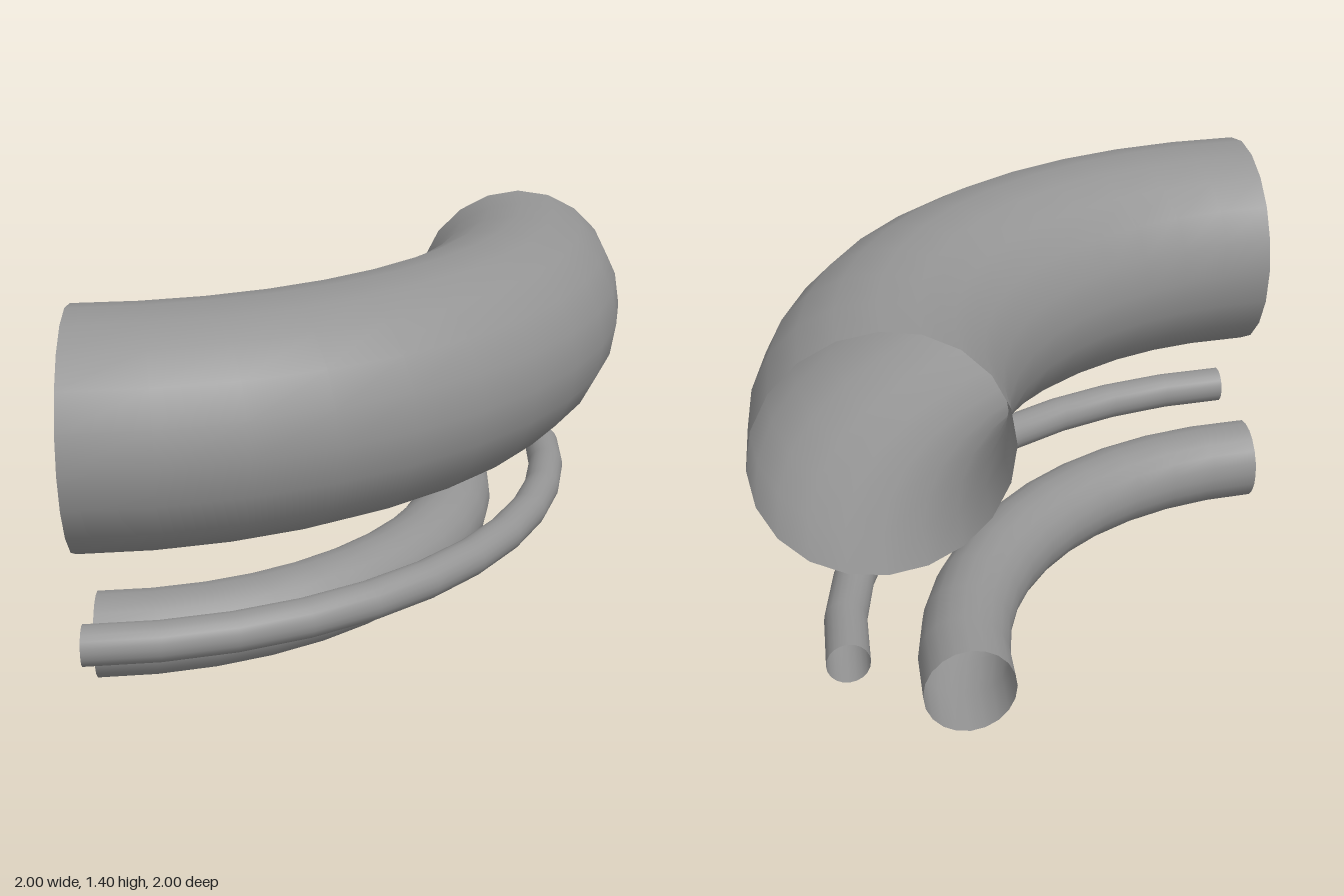
import * as THREE from 'three';

const material = new THREE.MeshStandardMaterial({ color: 0x949494, side: THREE.DoubleSide });

// Open quarter-turn pipe bending around the vertical axis at x = -1, z = -1
function pipeBend(name, bendRadius, pipeRadius, y) {
  const geometry = new THREE.TorusGeometry(bendRadius, pipeRadius, 20, 11, Math.PI / 2);
  geometry.rotateX(Math.PI / 2);
  const mesh = new THREE.Mesh(geometry, material);
  mesh.name = name;
  mesh.position.set(-1, y, -1);
  return mesh;
}

export function createModel() {
  const group = new THREE.Group();
  group.name = 'pipeBends';
  group.add(
    pipeBend('largePipe', 1.605, 0.395, 1.001), // wide pipe on top
    pipeBend('thinPipe', 1.738, 0.069, 0.307), // slim outer pipe
    pipeBend('lowerPipe', 1.361, 0.151, 0.151) // medium pipe at the bottom
  );
  return group;
}
